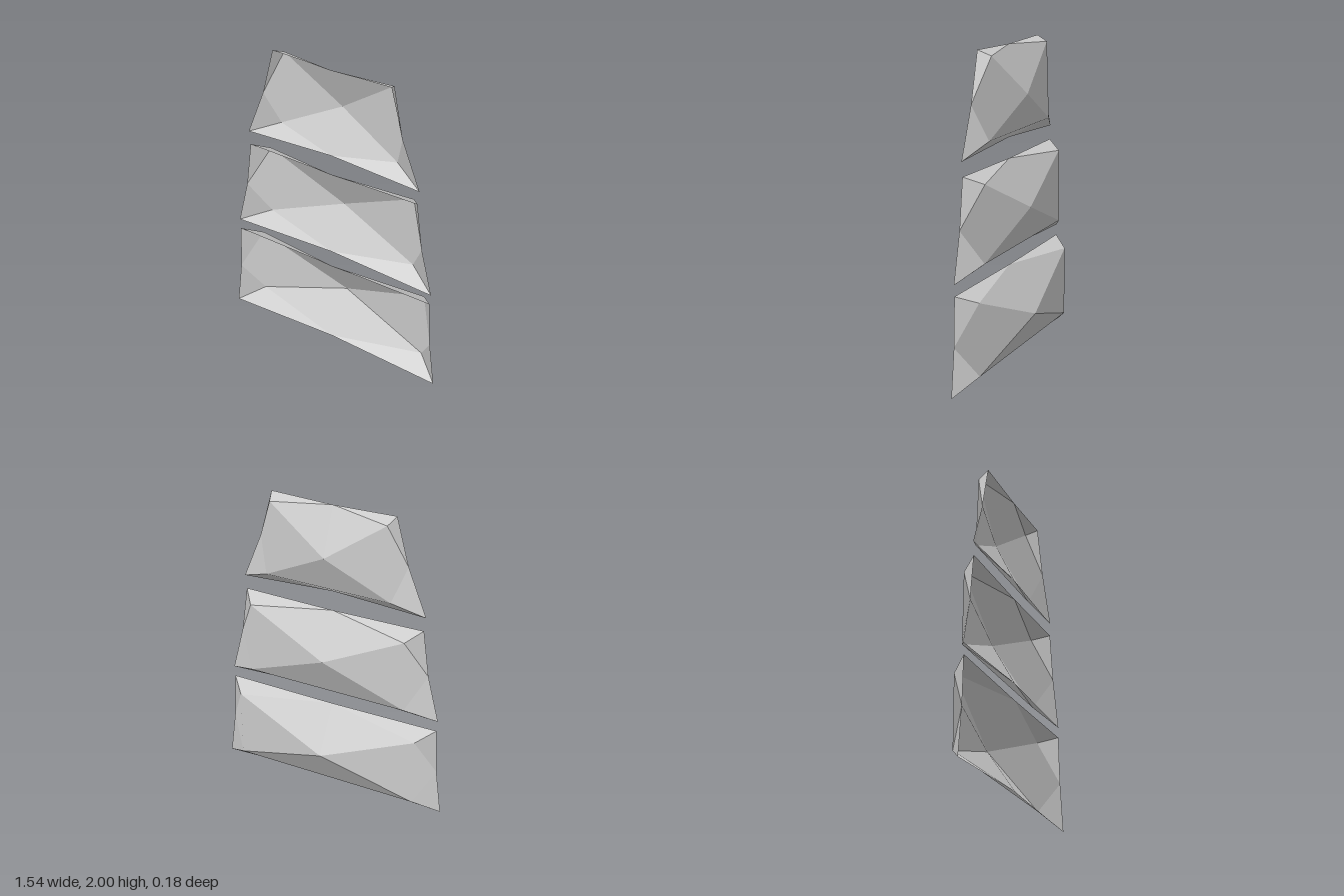
import * as THREE from 'three';

const RIM_Z = 0.09; // the whole outer rim lies in one plane

// Each plate: [x, y] rim points, [x, y, z] bevel corners, [y, z] of the peak
const plates = [
  { name: 'lowerPlate', top: [0.715, 0.615], topMid: 0.607, side: [0.73, 0.305], bottom: [0.77, 0], bottomMid: 0.035,
    bevelTop: [0.614, 0.56, -0.018], bevelBottom: [0.614, 0.102, -0.018], peak: [0.308, -0.09] },
  { name: 'middlePlate', top: [0.6, 1.298], topMid: 1.289, side: [0.643, 0.99], bottom: [0.72, 0.685], bottomMid: 0.718,
    bevelTop: [0.518, 1.247, -0.012], bevelBottom: [0.53, 0.773, -0.012], peak: [0.995, -0.057] },
  { name: 'upperPlate', top: [0.405, 2], topMid: 1.989, side: [0.487, 1.695], bottom: [0.61, 1.388], bottomMid: 1.421,
    bevelTop: [0.378, 1.966, 0.013], bevelBottom: [0.413, 1.477, 0.013], peak: [1.695, -0.035] },
];

const TOP = 1; // index of the top facet, which has no separate rear panel
const v = (x, y, z = RIM_Z) => new THREE.Vector3(x, y, z);
const flip = (p) => v(-p.x, p.y, p.z);
// Normal of a four-cornered facet from its two diagonals
const facetNormal = (a, b, c, d) => b.clone().sub(a).cross(d.clone().sub(c)).normalize();

// Dished plate: four large folded facets round a peak, bevelled corners
function plateGeometry(d) {
  const peak = v(0, ...d.peak);
  const [bt, bb, t, b, s] = [d.bevelTop, d.bevelBottom, d.top, d.bottom, d.side].map((p) => v(...p));
  // Rings run counter-clockwise from the lower right
  const bevel = [bb, bt, flip(bt), flip(bb)];
  const corner = [b, t, flip(t), flip(b)];
  const mid = [s, v(0, d.topMid), flip(s), v(0, d.bottomMid)];

  const positions = [], normals = [];
  const tri = (a, p, c, n = facetNormal(a, p, a, c)) => {
    for (const q of [a, p, c]) {
      positions.push(q.x, q.y, q.z);
      normals.push(n.x, n.y, n.z);
    }
  };

  for (let i = 0; i < 4; i++) {
    const p = bevel[i], q = bevel[(i + 1) % 4], e = mid[i], c = corner[i];
    // Large facet from the peak to the rim, shaded as one face
    const n = facetNormal(peak, e, p, q);
    tri(peak, p, e, n);
    tri(peak, e, q, n);
    // Two bevel facets at the corner
    tri(c, e, p);
    tri(c, p, mid[(i + 3) % 4]);
    // Rear panel closing the fold, split across the other diagonal
    if (i !== TOP) {
      tri(peak, p, q, n);
      tri(p, e, q, n);
    }
  }
  const g = new THREE.BufferGeometry();
  g.setAttribute('position', new THREE.Float32BufferAttribute(positions, 3));
  g.setAttribute('normal', new THREE.Float32BufferAttribute(normals, 3));
  return g;
}

export function createModel() {
  const group = new THREE.Group();
  group.name = 'stackedPlates';
  const material = new THREE.MeshStandardMaterial({ color: 0xcccccc, side: THREE.DoubleSide });
  for (const d of plates) {
    const mesh = new THREE.Mesh(plateGeometry(d), material);
    mesh.name = d.name;
    group.add(mesh);
  }
  return group;
}
